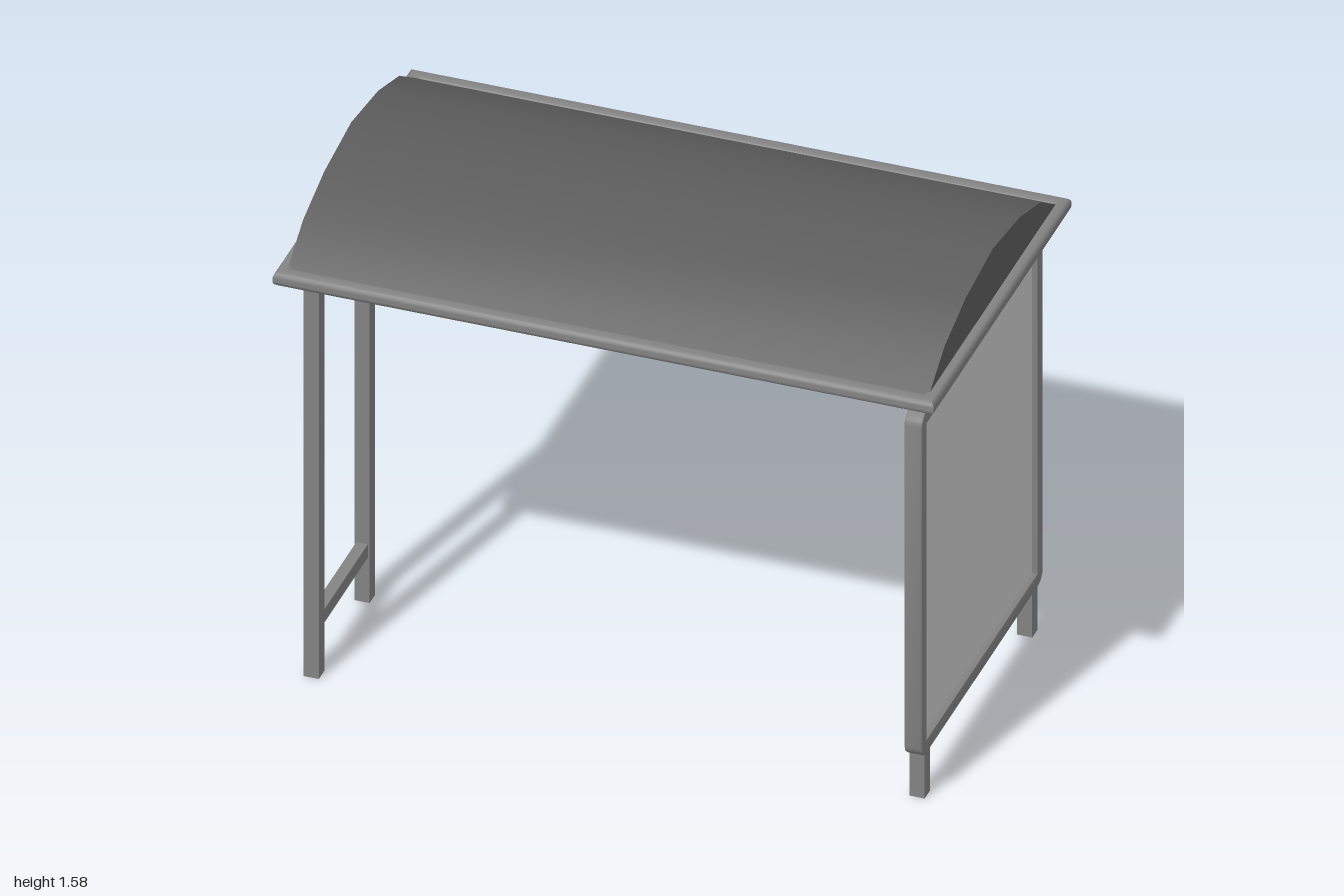
import * as THREE from 'three';
import { toCreasedNormals } from 'three/addons/utils/BufferGeometryUtils.js';

const metal = new THREE.MeshStandardMaterial({ color: 0x838383 });
const roofMat = new THREE.MeshStandardMaterial({ color: 0x5d5d5d, side: THREE.DoubleSide });
const paneMat = new THREE.MeshStandardMaterial({ color: 0xcccccc });

const POST = 0.046;
const LEFT_X = 0.912;    // glazed end
const RIGHT_X = -0.92;   // open end

function add(parent, name, geometry, material, x = 0, y = 0, z = 0) {
  const mesh = new THREE.Mesh(geometry, material);
  mesh.name = name;
  mesh.position.set(x, y, z);
  parent.add(mesh);
  return mesh;
}

const box = (parent, name, w, h, d, x, y, z, material = metal) =>
  add(parent, name, new THREE.BoxGeometry(w, h, d), material, x, y, z);

// Upright post between two heights
const post = (parent, name, x, z, y0, y1) =>
  box(parent, name, POST, y1 - y0, POST, x, (y0 + y1) / 2, z);

// Rectangle outline, centred on the origin, with optional rounded corners
function rectangle(path, w, h, r = 0) {
  const a = w / 2, b = h / 2;
  if (r === 0) {
    path.moveTo(-a, -b).lineTo(a, -b).lineTo(a, b).lineTo(-a, b).closePath();
    return path;
  }
  path.moveTo(-a + r, -b).lineTo(a - r, -b);
  path.absarc(a - r, -b + r, r, -Math.PI / 2, 0);
  path.absarc(a - r, b - r, r, 0, Math.PI / 2);
  path.absarc(-a + r, b - r, r, Math.PI / 2, Math.PI);
  path.absarc(-a + r, -b + r, r, Math.PI, Math.PI * 1.5);
  return path;
}

// Hollow rectangular frame with eased edges, centred on its depth
function frameGeometry(w, h, bar, depth, radius, bevel, bevelSegments) {
  const shape = rectangle(new THREE.Shape(), w, h, radius);
  shape.holes.push(rectangle(new THREE.Path(), w - 2 * bar, h - 2 * bar));
  const geometry = new THREE.ExtrudeGeometry(shape, {
    depth: depth - 2 * bevel,
    bevelEnabled: true,
    bevelThickness: bevel,
    bevelSize: bevel,
    bevelOffset: -bevel,
    bevelSegments,
    curveSegments: 6,
  });
  geometry.translate(0, 0, bevel - depth / 2);
  return toCreasedNormals(geometry, Math.PI / 4);
}

// Roof arc as [z, y]
const half = [[0.545, 1.4], [0.4, 1.497], [0.225, 1.553]];
const arc = [...half.map(([z, y]) => [-z, y]), [0, 1.583], ...half.slice().reverse()];

function createRoof() {
  const roof = new THREE.Group();
  roof.name = 'roof';

  // Curved canopy skin
  const skin = new THREE.PlaneGeometry(1.94, 1, 1, arc.length - 1);
  const pos = skin.attributes.position;
  for (let i = 0; i < pos.count; i++) {
    const [z, y] = arc[Math.floor(i / 2)];
    pos.setXYZ(i, pos.getX(i), y, z);
  }
  skin.computeVertexNormals();
  add(roof, 'canopy', skin, roofMat);

  // Flat gable at each end
  const outline = new THREE.Shape(arc.map(([z, y]) => new THREE.Vector2(z, y)));
  for (const side of [-1, 1]) {
    const gable = add(roof, 'gable', new THREE.ShapeGeometry(outline), roofMat, side * 0.97);
    gable.rotation.y = side * Math.PI / 2;
  }

  // Rounded eave frame and the cross bars inside it
  const eaves = add(roof, 'eaveFrame', frameGeometry(2, 1.15, 0.05, 0.046, 0, 0.018, 3), metal, 0, 1.392, 0);
  eaves.rotation.x = -Math.PI / 2;
  for (const x of [RIGHT_X, 0, LEFT_X]) box(roof, 'crossBar', 0.025, 0.025, 1.08, x, 1.39, 0);
  return roof;
}

function createGlazedEnd() {
  const end = new THREE.Group();
  end.name = 'glazedEnd';
  const panelFrame = add(end, 'panelFrame', frameGeometry(1.01, 1.16, 0.045, 0.055, 0.04, 0.006, 2),
    metal, LEFT_X, 0.73, 0);
  panelFrame.rotation.y = Math.PI / 2;
  box(end, 'pane', 0.02, 1.09, 0.94, LEFT_X, 0.73, 0, paneMat);

  // Feet below the panel and stubs up to the eaves
  for (const z of [-0.448, 0.448]) {
    post(end, 'foot', LEFT_X, z, 0, 0.18);
    post(end, 'topStub', LEFT_X, z, 1.28, 1.39);
  }
  return end;
}

function createOpenEnd() {
  const end = new THREE.Group();
  end.name = 'openEnd';
  for (const z of [0.025, 0.448]) post(end, 'post', RIGHT_X, z, 0, 1.39);
  box(end, 'lowRail', 0.035, 0.045, 0.39, RIGHT_X, 0.175, 0.2365);
  return end;
}

export function createModel() {
  const shelter = new THREE.Group();
  shelter.name = 'shelter';
  shelter.add(createRoof(), createGlazedEnd(), createOpenEnd());
  return shelter;
}
